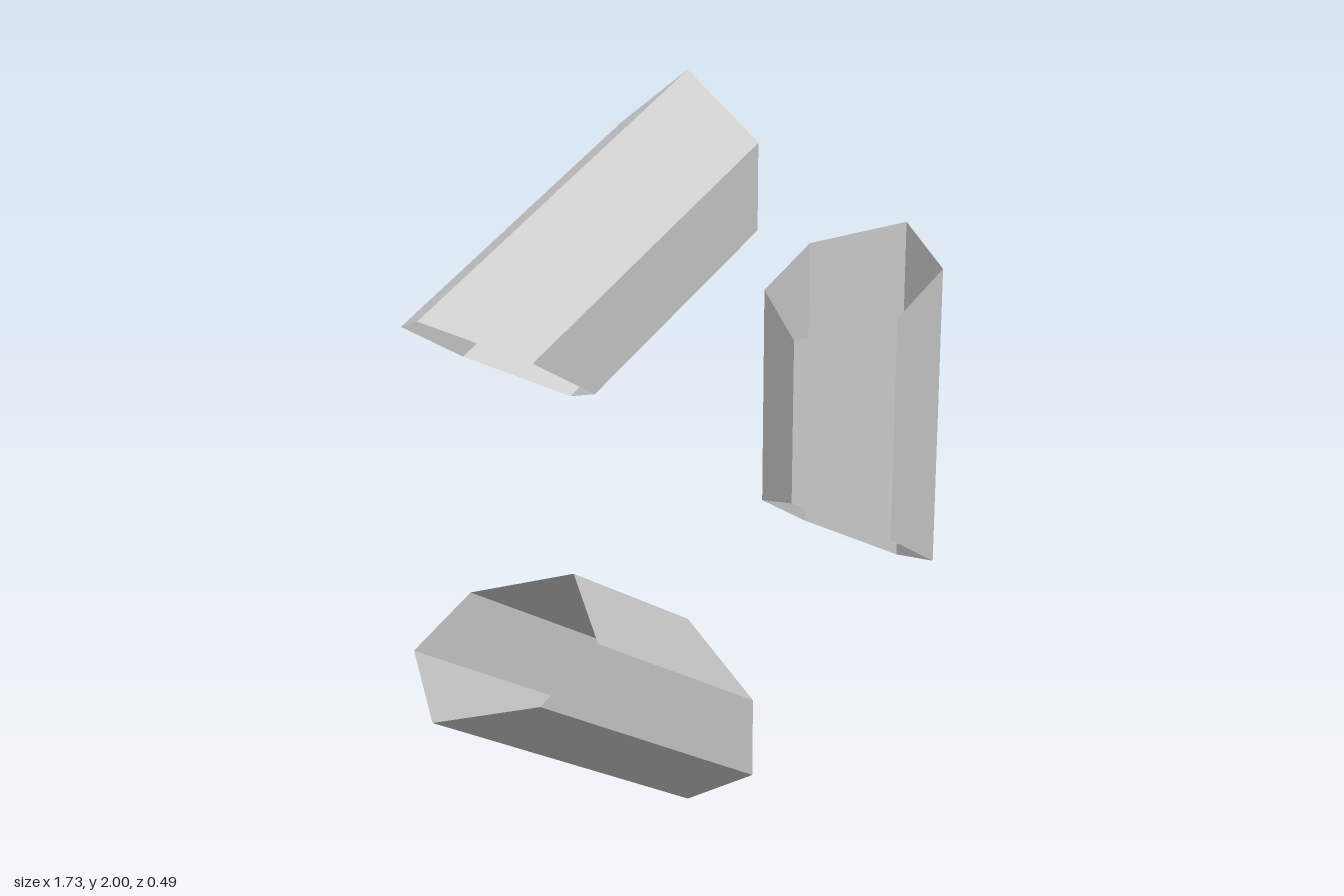
import * as THREE from 'three';

export function createModel() {
  const group = new THREE.Group();
  group.name = 'brokenHexagonRing';

  const grey = new THREE.MeshStandardMaterial({ color: 0xcccccc, flatShading: true, side: THREE.DoubleSide });
  grey.name = 'light grey';

  // Six-sided tube section: distance from the ring centre, depth z
  const section = [[1, 0], [0.844, 0.246], [0.628, 0.246], [0.467, 0], [0.628, -0.246], [0.844, -0.246]];

  // One open tube with mitred ends, spanning a single side of a hexagon
  const positions = [];
  const point = ([r, z], degrees) => {
    const a = THREE.MathUtils.degToRad(degrees);
    return [r * Math.cos(a), r * Math.sin(a), z];
  };
  section.forEach((p, i) => {
    const q = section[(i + 1) % section.length];
    const a = point(p, -30), b = point(p, 30), c = point(q, 30), d = point(q, -30);
    positions.push(...a, ...b, ...c, ...a, ...c, ...d);
  });
  const tube = new THREE.BufferGeometry();
  tube.setAttribute('position', new THREE.Float32BufferAttribute(positions, 3));
  tube.computeVertexNormals();

  // Every other side of the hexagon
  ['leftSegment', 'upperRightSegment', 'lowerRightSegment'].forEach((name, i) => {
    const segment = new THREE.Mesh(tube, grey);
    segment.name = name;
    segment.position.y = 1;
    segment.rotation.z = (i * 2 * Math.PI) / 3;
    group.add(segment);
  });
  return group;
}
